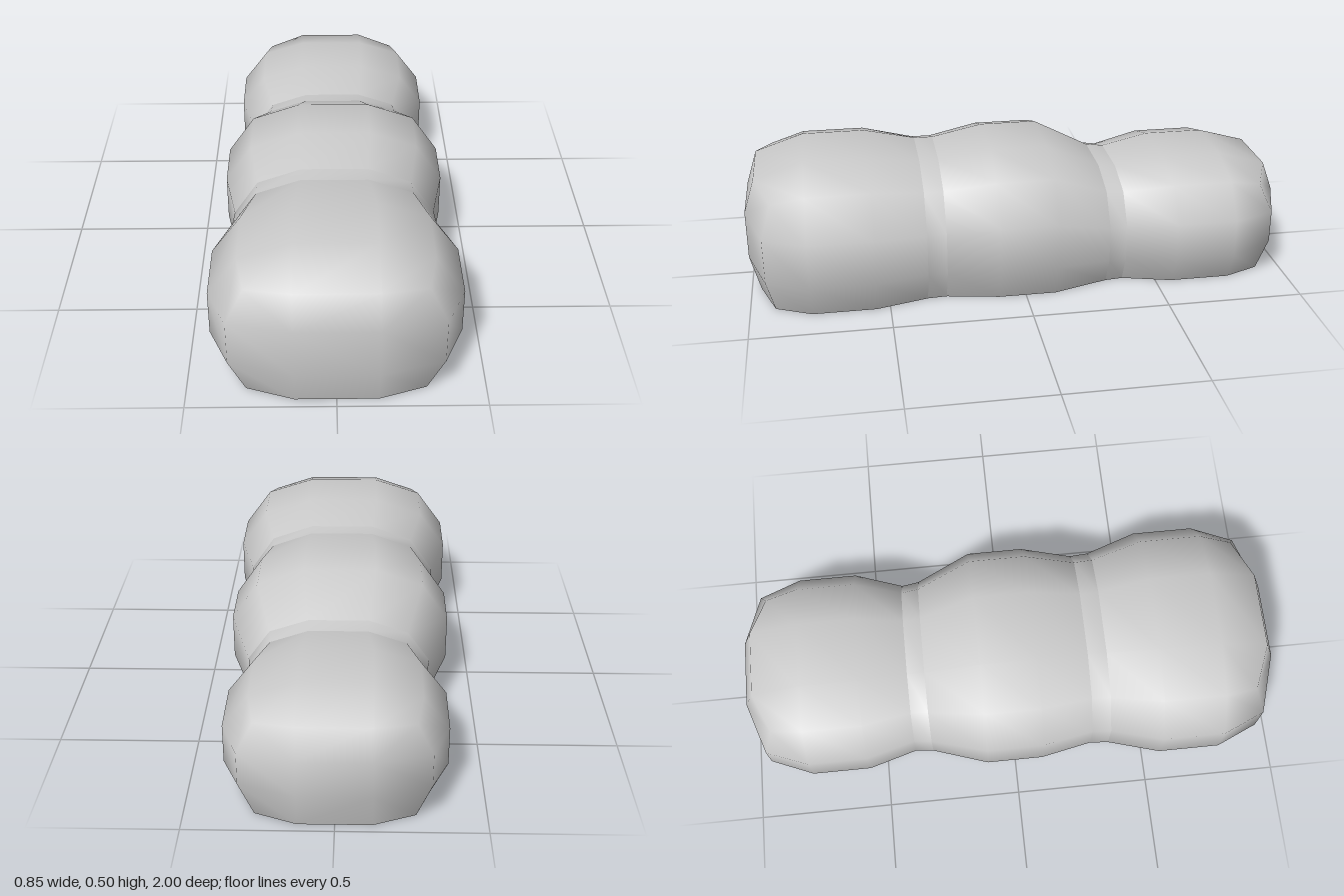
import * as THREE from 'three';
import { mergeVertices } from 'three/addons/utils/BufferGeometryUtils.js';

const material = new THREE.MeshStandardMaterial({ color: 0xcccccc, side: THREE.DoubleSide });

// Half of an arch section, from the open bottom up to the crown, as [x, y, z].
const arch = (z, w, h) => [
  [0.85 * w, 0, z], [w, 0.27 * h, z], [w, 0.6 * h, z], [0.76 * w, 0.88 * h, z], [0.33 * w, h, z],
];

// Rounded shoulder section that leads into an end face; s is the sign of z.
const shoulder = (s, w, h) => [
  [0.71 * w, 0, s * 0.91], [0.84 * w, 0.135, s * 0.935], [0.84 * w, 0.6 * h, s * 0.935],
  [0.7 * w, 0.82 * h, s * 0.9], [0.33 * w, 0.88 * h, s * 0.96],
];

// End face border; the upper three points meet in one corner.
const face = (s, w, h) => {
  const x = 0.33 * w, top = [x, 0.63 * h, s];
  return [[x, 0, s * 0.965], [x, 0.135, s], top, top, top];
};

// Skin a row of half sections, mirrored in x, running from +z to -z.
function skin(name, halves, capFront = false, capBack = false) {
  const rings = halves.map((half) => [
    ...half, ...half.slice().reverse().map(([x, y, z]) => [-x, y, z]),
  ]);
  const index = [];
  for (let s = 0; s < rings.length - 1; s++) {
    for (let i = 0; i < 9; i++) {
      const a = s * 10 + i, b = a + 1, c = a + 10, d = a + 11;
      index.push(a, c, b, b, c, d);
    }
  }
  // Close the middle of an end face
  const cap = (o, back) => {
    for (const [a, b, c] of [[0, 1, 8], [0, 8, 9], [1, 2, 7], [1, 7, 8]]) {
      index.push(o + a, o + (back ? c : b), o + (back ? b : c));
    }
  };
  if (capFront) cap(0, false);
  if (capBack) cap((rings.length - 1) * 10, true);

  let geometry = new THREE.BufferGeometry();
  geometry.setAttribute('position', new THREE.Float32BufferAttribute(rings.flat(2), 3));
  geometry.setIndex(index);
  geometry = mergeVertices(geometry, 1e-4);
  geometry.computeVertexNormals();
  const mesh = new THREE.Mesh(geometry, material);
  mesh.name = name;
  return mesh;
}

export function createModel() {
  const group = new THREE.Group();
  group.name = 'segmentedShell';

  // Sections on either side of the two waists
  const frontWaist = [arch(0.36, 0.367, 0.465), arch(0.29, 0.362, 0.465)];
  const backWaist = [arch(-0.315, 0.328, 0.4), arch(-0.38, 0.32, 0.392)];

  group.add(
    skin('frontLobe', [
      face(1, 0.425, 0.5), shoulder(1, 0.425, 0.5),
      arch(0.78, 0.425, 0.5), arch(0.55, 0.425, 0.5), frontWaist[0],
    ], true),
    skin('frontWaistBand', frontWaist),
    skin('middleLobe', [frontWaist[1], arch(0.1, 0.403, 0.5), arch(-0.11, 0.403, 0.5), backWaist[0]]),
    skin('backWaistBand', backWaist),
    skin('backLobe', [
      backWaist[1], arch(-0.56, 0.375, 0.425), arch(-0.78, 0.375, 0.425),
      shoulder(-1, 0.375, 0.425), face(-1, 0.375, 0.425),
    ], false, true),
  );
  return group;
}
